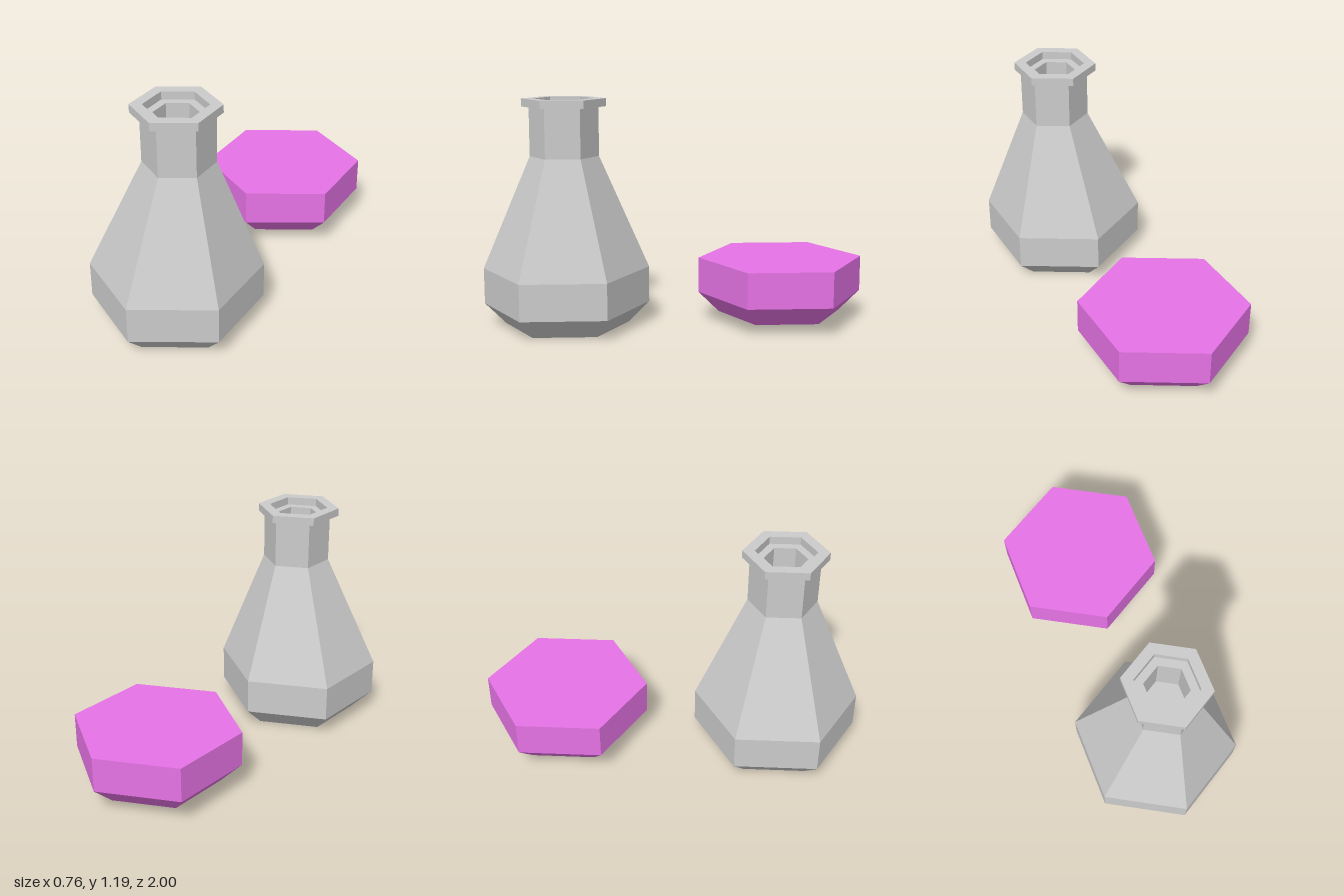
import * as THREE from 'three';

// Skins a stack of hexagons, each given as [radius, height, sideways shift].
function hexLoft(rings) {
  const pos = [];
  const point = ([r, y, dx = 0], k) => {
    const a = (k * Math.PI) / 3;
    return [dx + r * Math.sin(a), y, r * Math.cos(a)];
  };
  for (let i = 0; i < rings.length - 1; i++) {
    const lo = rings[i], hi = rings[i + 1];
    for (let k = 0; k < 6; k++) {
      const a = point(lo, k), b = point(lo, k + 1);
      const c = point(hi, k + 1), d = point(hi, k);
      if (lo[0] > 0) pos.push(...a, ...b, ...c);
      if (hi[0] > 0) pos.push(...a, ...c, ...d);
    }
  }
  const geo = new THREE.BufferGeometry();
  geo.setAttribute('position', new THREE.Float32BufferAttribute(pos, 3));
  geo.computeVertexNormals();
  return geo;
}

function part(name, rings, color) {
  const material = new THREE.MeshStandardMaterial({ color, flatShading: true });
  const mesh = new THREE.Mesh(hexLoft(rings), material);
  mesh.name = name;
  return mesh;
}

export function createModel() {
  const model = new THREE.Group();
  model.name = 'flaskAndLiquid';
  const neckX = 0.033, lipX = 0.025;

  // Flask: chamfered base, tapering shoulder, slightly off-centre neck
  const flask = new THREE.Group();
  flask.name = 'flask';
  flask.position.z = 0.566;
  flask.add(part('flaskBody', [
    [0, 0], [0.325, 0], [0.435, 0.11], [0.435, 0.3],
    [0.178, 0.895, neckX], [0.178, 1.15, neckX],
  ], 0xcccccc));

  // Lip with a stepped opening running down into the neck
  flask.add(part('flaskLip', [
    [0.11, 1.15, lipX], [0.217, 1.15, lipX], [0.217, 1.191, lipX],
    [0.156, 1.191, lipX], [0.156, 1.15, lipX], [0.11, 1.15, lipX],
    [0.11, 0.9, lipX], [0, 0.9, lipX],
  ], 0xcccccc));
  model.add(flask);

  // Liquid: solid slab with a chamfered underside, set beside the flask
  const liquid = part('liquid', [
    [0, 0.05], [0.325, 0.05], [0.434, 0.157], [0.434, 0.344], [0, 0.344],
  ], 0xe673e6);
  liquid.position.set(-0.003, 0, -0.566);
  model.add(liquid);

  return model;
}
